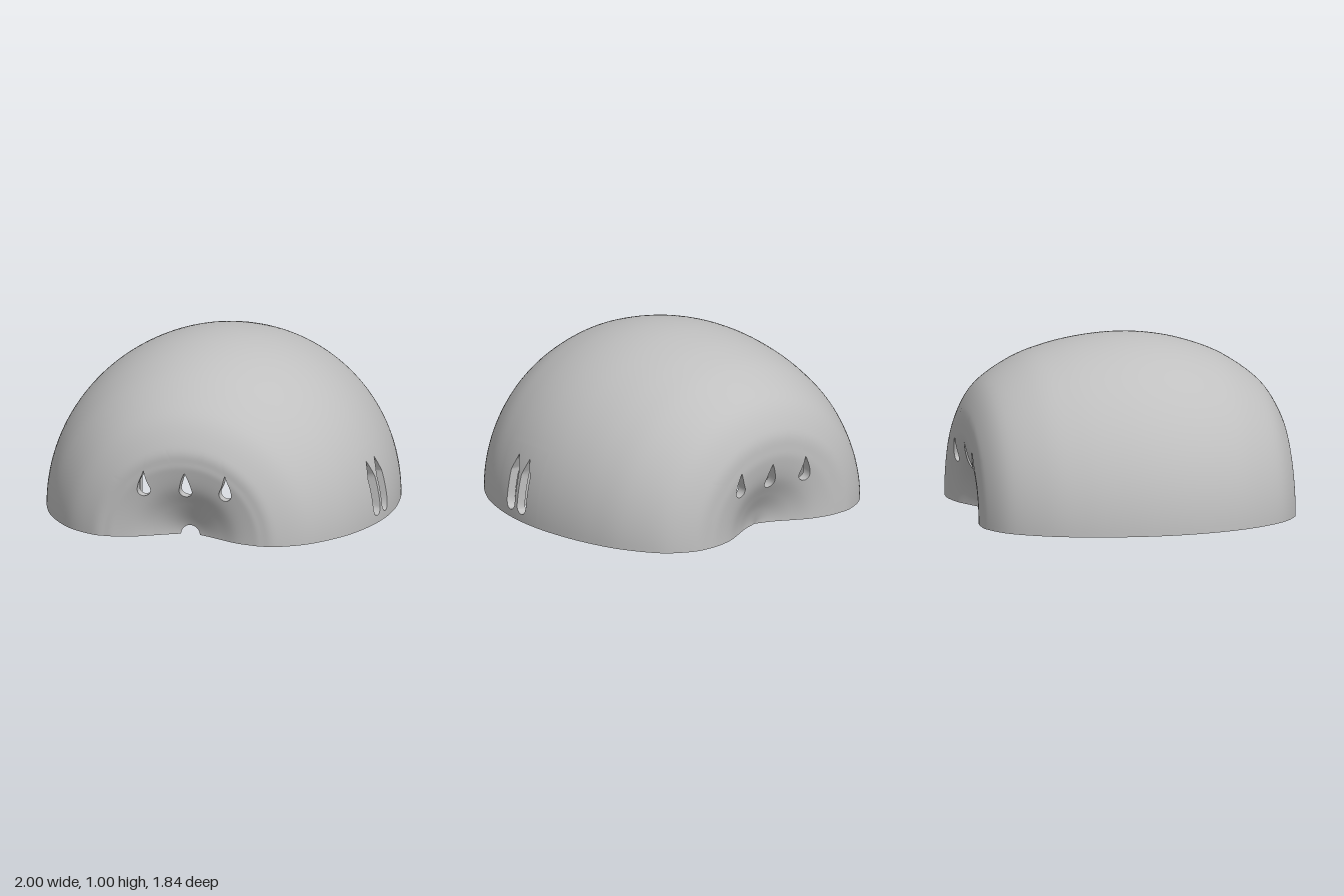
import * as THREE from 'three';

const grey = new THREE.MeshStandardMaterial({ color: 0xc0c0c0, side: THREE.DoubleSide });
grey.name = 'grey';

const ROWS = 132, COLS = 90, WALL = 0.058;

// Shell profile (z, radius) from the front dimple over the top to the back dimple
const profile = new THREE.SplineCurve([
  [0.765, 0.055], [0.785, 0.1], [0.838, 0.2], [0.888, 0.3], [0.913, 0.4], [0.918, 0.46], [0.903, 0.55],
  [0.8, 0.71], [0.6, 0.857], [0.4, 0.94], [0.2, 0.986], [0, 1], [-0.2, 0.986], [-0.4, 0.948],
  [-0.6, 0.879], [-0.8, 0.75], [-0.9, 0.595], [-0.918, 0.48], [-0.913, 0.4], [-0.888, 0.3],
  [-0.838, 0.2], [-0.785, 0.1], [-0.75, 0],
].map(([z, r]) => new THREE.Vector2(z, r)));

// Profile point at a row, pushed inwards by depth
function section(row, depth) {
  const t = row / ROWS, p = profile.getPoint(t), d = profile.getTangent(t);
  const r = t >= 1 ? 0 : Math.max(0, p.y + d.x * depth);
  return { z: p.x - d.y * depth, r };
}
function surface([row, col], depth) {
  const { z, r } = section(row, depth), a = col / COLS * Math.PI;
  return [r * Math.cos(a), r * Math.sin(a), z];
}
// Row between lo and hi where the section's key reaches a value
function findRow(key, value, lo, hi, depth) {
  const rising = section(hi, depth)[key] > section(lo, depth)[key];
  for (let i = 0; i < 30; i++) {
    const mid = (lo + hi) / 2;
    if ((section(mid, depth)[key] < value) === rising) lo = mid; else hi = mid;
  }
  return (lo + hi) / 2;
}

// Pointed outline: tip first, then a round lower end
function pointed(cx, cy, rad, tip, shoulderY, startAngle) {
  const pts = [[cx, tip]];
  if (shoulderY) pts.push([cx + rad, shoulderY]);
  for (let i = 0; i <= 20; i++) {
    const a = startAngle - i / 20 * (Math.PI + 2 * startAngle);
    pts.push([cx + rad * Math.cos(a), cy + rad * Math.sin(a)]);
  }
  if (shoulderY) pts.push([cx - rad, shoulderY]);
  return pts;
}

// Openings, each in a patch of the grid: rows r0-r1, columns c0-c1
const openings = [];
for (const [r0, r1] of [[10, 36], [96, 122]]) {
  for (const [x, c0, c1] of [[0.24, 20, 33], [0, 39, 51], [-0.24, 57, 70]]) {
    openings.push({
      r0, r1, c0, c1, outline: pointed(x, 0.287, 0.038, 0.4, 0, 0.34),
      place: ([px, py], d) => [findRow('r', Math.hypot(px, py), r0, r1, d), Math.atan2(py, px) / Math.PI * COLS],
    });
  }
}
for (const [z, r0, r1] of [[0.26, 54, 60], [0.147, 60, 66]]) {
  openings.push({
    r0, r1, c0: 0, c1: 13, outline: pointed(z, 0.085, 0.043, 0.36, 0.265, 0),
    place: ([pz, py], d) => {
      const row = findRow('z', pz, r0, r1, d);
      return [row, Math.asin(py / section(row, d).r) / Math.PI * COLS];
    },
  });
}

// Corner points round the edge of a patch
function patchEdge({ r0, r1, c0, c1 }) {
  const e = [];
  for (let r = r0; r < r1; r++) e.push([r, c0]);
  for (let c = c0; c < c1; c++) e.push([r1, c]);
  for (let r = r1; r > r0; r--) e.push([r, c1]);
  for (let c = c1; c > c0; c--) e.push([r0, c]);
  return e;
}
// For each edge point, the matching point on the opening's outline
function openingLoop(o, depth) {
  const poly = o.outline.map((p) => o.place(p, depth)), edge = patchEdge(o);
  const c = [0, 1].map((k) => (Math.min(...poly.map((p) => p[k])) + Math.max(...poly.map((p) => p[k]))) / 2);
  const loop = edge.map((b) => {
    const dx = b[0] - c[0], dy = b[1] - c[1];
    let best = 0;
    poly.forEach((p, i) => {
      const q = poly[(i + 1) % poly.length], ex = q[0] - p[0], ey = q[1] - p[1];
      const den = dx * ey - dy * ex, px = p[0] - c[0], py = p[1] - c[1];
      if (Math.abs(den) < 1e-9) return;
      const s = (px * ey - py * ex) / den, u = (px * dy - py * dx) / den;
      if (s > 0 && u >= -1e-6 && u <= 1 + 1e-6) best = Math.max(best, s);
    });
    return [c[0] + dx * best, c[1] + dy * best];
  });
  // keep the sharp tip
  let near = 0;
  const gap = (p) => Math.hypot(p[0] - poly[0][0], p[1] - poly[0][1]);
  loop.forEach((p, i) => { if (gap(p) < gap(loop[near])) near = i; });
  loop[near] = poly[0];
  return loop;
}

function geometry(pos, idx) {
  const g = new THREE.BufferGeometry();
  g.setAttribute('position', new THREE.Float32BufferAttribute(pos, 3));
  g.setIndex(idx);
  g.computeVertexNormals();
  return g;
}

// One skin of the shell, with its openings
function skin(depth) {
  const pos = [], idx = [], at = (r, c) => r * (COLS + 1) + c;
  const quad = (a, b, c, d) => (depth ? idx.push(a, c, b, a, d, c) : idx.push(a, b, c, a, c, d));
  for (let r = 0; r <= ROWS; r++) for (let c = 0; c <= COLS; c++) pos.push(...surface([r, c], depth));
  for (let r = 0; r < ROWS; r++) for (let c = 0; c < COLS; c++) {
    if (openings.some((o) => r >= o.r0 && r < o.r1 && c >= o.c0 && c < o.c1)) continue;
    quad(at(r, c), at(r + 1, c), at(r + 1, c + 1), at(r, c + 1));
  }
  for (const o of openings) {
    const edge = patchEdge(o), loop = openingLoop(o, depth), n = edge.length;
    let prev = edge.map(([r, c]) => at(r, c));
    for (let k = 1; k <= 12; k++) {
      const next = edge.map((e, i) => {
        pos.push(...surface([0, 1].map((j) => e[j] + (loop[i][j] - e[j]) * k / 12), depth));
        return pos.length / 3 - 1;
      });
      for (let i = 0; i < n; i++) quad(prev[i], prev[(i + 1) % n], next[(i + 1) % n], next[i]);
      prev = next;
    }
  }
  return geometry(pos, idx);
}
// Strip joining two rows of points
function strip(a, b) {
  const idx = [], n = a.length;
  for (let i = 0; i < n - 1; i++) idx.push(i, i + 1, n + i + 1, i, n + i + 1, n + i);
  return geometry([...a, ...b].flat(), idx);
}

export function createModel() {
  const model = new THREE.Group();
  const add = (name, geo, x = 0, y = 0, z = 0) => {
    const m = new THREE.Mesh(geo, grey);
    m.name = name;
    m.position.set(x, y, z);
    model.add(m);
  };
  const box = (name, x0, x1, y0, y1, z0, z1) => add(name, new THREE.BoxGeometry(x1 - x0, y1 - y0, z1 - z0),
    (x0 + x1) / 2, (y0 + y1) / 2, (z0 + z1) / 2);

  // Shell
  add('outerShell', skin(0));
  add('innerShell', skin(WALL));
  for (const c of [0, COLS]) {
    const line = (d) => Array.from({ length: ROWS + 1 }, (_, r) => surface([r, c], d));
    add('bottomRim', strip(line(0), line(WALL)));
  }
  const ring = (d) => Array.from({ length: COLS + 1 }, (_, c) => surface([0, c], d));
  add('cableHoleEdge', strip(ring(0), ring(WALL)));
  for (const o of openings) {
    const loop = (d) => { const l = openingLoop(o, d).map((p) => surface(p, d)); return [...l, l[0]]; };
    add('openingEdge', strip(loop(0), loop(WALL)));
  }

  // Screw posts: hollow below, closed above
  const post = (hole, rad, height, dome) => {
    const pts = [[0, 0.25], [hole, 0.25], [hole, 0], [hole, 0], [rad, 0], [rad, 0], [rad, height]];
    for (let i = 1; i <= 8; i++) {
      const a = i / 8 * Math.PI / 2;
      pts.push([rad * Math.cos(a), height + dome * Math.sin(a)]);
    }
    return new THREE.LatheGeometry(pts.map(([r, y]) => new THREE.Vector2(Math.max(r, 0), y)), 28);
  };
  for (const sx of [1, -1]) for (const sz of [1, -1]) {
    add('screwPost', post(0.035, 0.12, 0.36, 0.13), sx * 0.69, 0, sz * 0.47);
    const [xa, xb] = [sx * 0.74, sx * 0.82].sort((a, b) => a - b);
    box('postWeb', xa, xb, 0, 0.22, sz * 0.45 - 0.1, sz * 0.45 + 0.1);

    // Tall ribs running to the front and back walls
    const ribZ = sz > 0 ? 0.45 : 0.4;
    add('ribPost', post(0.028, 0.06, 0.72, 0.01), sx * 0.425, 0, sz * ribZ);
    const side = new THREE.Shape([[ribZ + 0.035, 0], [0.87, 0], [0.87, 0.3], [0.7, 0.55], [ribZ + 0.035, 0.72]]
      .map(([z, y]) => new THREE.Vector2(-sz * z, y)));
    const rib = new THREE.ExtrudeGeometry(side, { depth: 0.12, bevelEnabled: false });
    rib.rotateY(Math.PI / 2);
    add('rib', rib, sx * 0.425 - 0.06, 0, 0);
  }

  // Socket tray on the side wall
  box('trayBase', -0.91, -0.8, 0, 0.26, -0.28, 0.28);
  box('trayInnerWall', -0.68, -0.62, 0, 0.26, -0.28, 0.28);
  box('trayRoof', -0.85, -0.62, 0.2, 0.26, -0.28, 0.28);
  for (const s of [1, -1]) box('trayEnd', -0.85, -0.62, 0, 0.26, s * 0.25 - 0.03, s * 0.25 + 0.03);
  return model;
}
